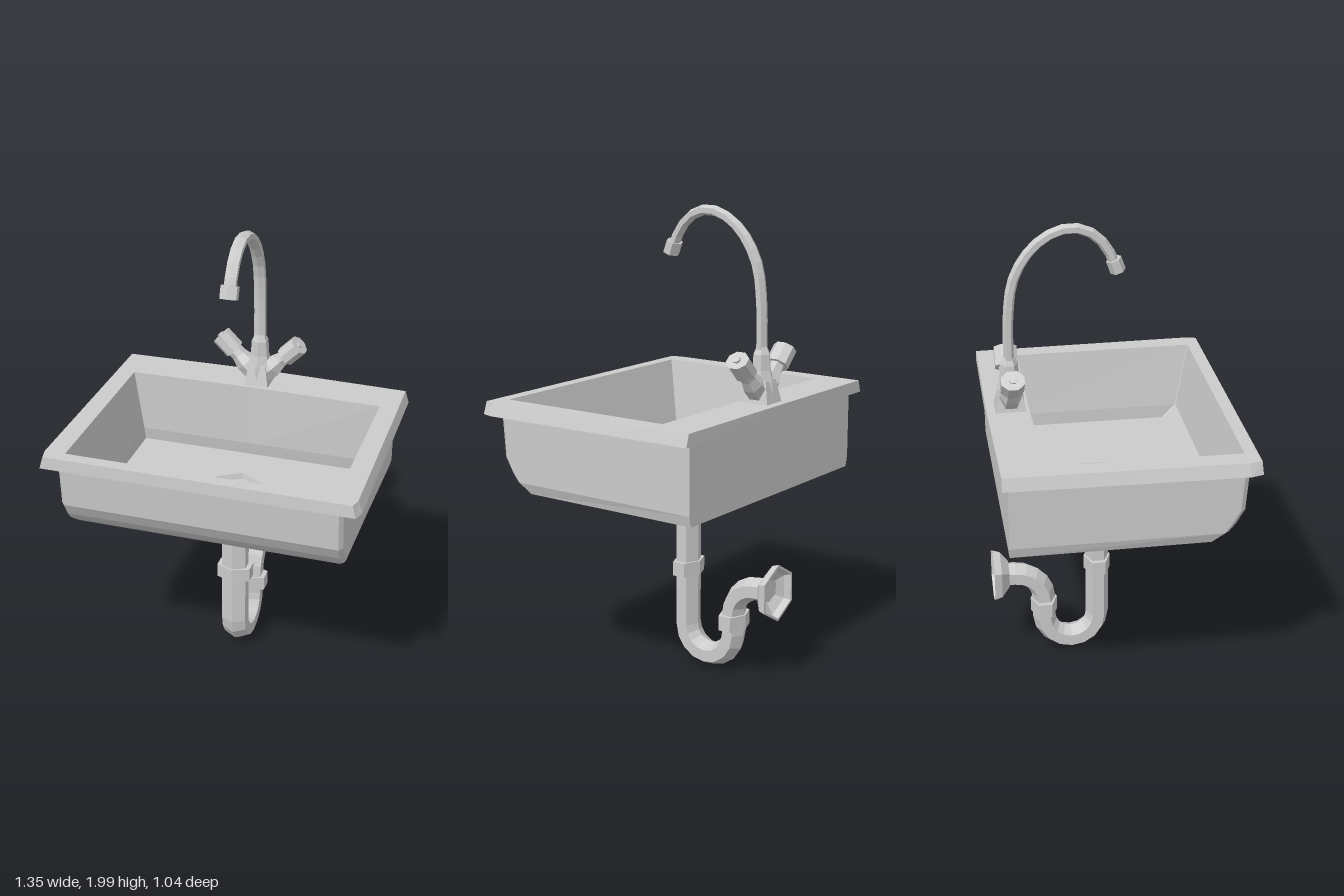
import * as THREE from 'three';

const mat = new THREE.MeshStandardMaterial({ color: 0xcccccc, flatShading: true });
const openMat = new THREE.MeshStandardMaterial({ color: 0xcccccc, flatShading: true, side: THREE.DoubleSide });

function add(parent, name, geometry, material = mat) {
  const mesh = new THREE.Mesh(geometry, material);
  mesh.name = name;
  parent.add(mesh);
  return mesh;
}

// Skin through rings of equal point count, closed at both ends
function loft(rings) {
  const n = rings[0].length, pos = [];
  const tri = (a, b, c) => pos.push(...a, ...b, ...c);
  for (let k = 0; k + 1 < rings.length; k++) {
    const a = rings[k], b = rings[k + 1];
    for (let i = 0; i < n; i++) {
      const j = (i + 1) % n;
      tri(a[i], a[j], b[j]);
      tri(a[i], b[j], b[i]);
    }
  }
  const first = rings[0], last = rings[rings.length - 1];
  for (let i = 1; i + 1 < n; i++) {
    tri(first[0], first[i + 1], first[i]);
    tri(last[0], last[i], last[i + 1]);
  }
  const g = new THREE.BufferGeometry();
  g.setAttribute('position', new THREE.Float32BufferAttribute(pos, 3));
  g.computeVertexNormals();
  return g;
}

// Horizontal basin outline with cut front corners and a slightly bowed back
function outline(y, backX, frontX, zBack, zFront, cutX = 0.003, cutZ = 0.003, bow = 0) {
  return [
    [backX, y, zBack], [0, y + bow * 0.5, zBack - bow], [-backX, y, zBack],
    [-frontX, y, zFront - cutZ], [-frontX + cutX, y, zFront],
    [frontX - cutX, y, zFront], [frontX, y, zFront - cutZ],
  ];
}

// Hexagonal drain outline, front corner doubled to match the basin outline
function drainOutline(y, r) {
  return [120, 180, 240, 300, 360, 360, 60].map((deg) => {
    const a = deg * Math.PI / 180;
    return [Math.sin(a) * r, y, Math.cos(a) * r - 0.05];
  });
}

// Six-sided tube along [z, y] points in the plane x = 0
function sweep(path, r, xScale) {
  return loft(path.map(([z, y], k) => {
    const p = path[Math.max(k - 1, 0)], q = path[Math.min(k + 1, path.length - 1)];
    const len = Math.hypot(q[0] - p[0], q[1] - p[1]);
    const tz = (q[0] - p[0]) / len, ty = (q[1] - p[1]) / len;
    return Array.from({ length: 6 }, (_, i) => {
      const a = i * Math.PI / 3, c = Math.cos(a) * r;
      return [Math.sin(a) * r * xScale, y - tz * c, z + ty * c];
    });
  }));
}

// Faceted turned part from [radius, height] pairs
const turned = (profile, sides = 6, turn = 0) =>
  new THREE.LatheGeometry(profile.map(([r, y]) => new THREE.Vector2(r, y)), sides, turn);

function arc(cz, cy, r, from, to, steps) {
  return Array.from({ length: steps + 1 }, (_, i) => {
    const a = from + (to - from) * i / steps;
    return [cz + Math.cos(a) * r, cy + Math.sin(a) * r];
  });
}

export function createModel() {
  const model = new THREE.Group();
  model.name = 'sink';

  // Basin: outer shell, rim, inner walls, floor and recessed drain in one skin
  add(model, 'basin', loft([
    outline(0.82, 0.59, 0.585, -0.484, 0.35, 0.015, 0.015),
    outline(0.865, 0.602, 0.602, -0.484, 0.405, 0.015, 0.02),
    outline(0.9, 0.602, 0.602, -0.484, 0.433, 0.015, 0.02),
    outline(0.96, 0.602, 0.602, -0.484, 0.468, 0.015, 0.02),
    outline(1.15, 0.602, 0.602, -0.484, 0.483, 0.015, 0.02),
    outline(1.15, 0.658, 0.677, -0.51, 0.518, 0.015, 0.05, 0.008),
    outline(1.203, 0.642, 0.659, -0.51, 0.514, 0.012, 0.05, 0.008),
    outline(1.203, 0.565, 0.57, -0.332, 0.46, 0.003, 0.003, 0.006),
    outline(0.925, 0.526, 0.526, -0.334, 0.4),
    outline(0.865, 0.524, 0.524, -0.345, 0.34),
    drainOutline(0.865, 0.117),
    drainOutline(0.84, 0.111),
  ]));

  // Funnel below the drain
  const funnel = add(model, 'drainFunnel', turned([[0.055, 0.715], [0.115, 0.805], [0.115, 0.825], [0, 0.825]]));
  funnel.position.z = -0.05;
  funnel.scale.x = 1.12;

  // Waste pipe with U-bend and elbow to the wall
  add(model, 'trapPipe', sweep([
    [-0.05, 0.73],
    ...arc(-0.17, 0.173, 0.12, 0, -Math.PI, 8),
    ...arc(-0.42, 0.265, 0.13, 0, Math.PI / 2, 5),
    [-0.465, 0.395],
  ], 0.051, 1.25));
  for (const [z, y0, y1] of [[-0.05, 0.645, 0.717], [-0.05, 0.398, 0.46], [-0.29, 0.198, 0.263]])
    add(model, 'pipeCollar', sweep([[z, y0], [z, y1]], 0.059, 1.48));

  // Hollow wall flange
  const flange = add(model, 'wallFlange', turned([
    [0.045, 0], [0.065, 0], [0.114, 0.036], [0.125, 0.068], [0.114, 0.068], [0.102, 0.04], [0.05, 0.01],
  ]), openMat);
  flange.rotation.x = -Math.PI / 2;
  flange.position.set(0, 0.395, -0.445);

  // Tap body
  const tap = new THREE.Group();
  tap.name = 'tap';
  tap.position.set(0, 1.2, -0.415);
  model.add(tap);
  const base = new THREE.CylinderGeometry(0.045 * Math.SQRT2, 0.066 * Math.SQRT2, 0.1, 4);
  base.rotateY(Math.PI / 4).scale(0.84, 1, 1).translate(0, 0.05, 0);
  add(tap, 'tapBase', base);
  add(tap, 'tapColumn', turned([[0.06, 0.02], [0.055, 0.09], [0.042, 0.14], [0.038, 0.205], [0.024, 0.235], [0, 0.235]]));

  // Slanted arms with eight-sided handles
  for (const side of [-1, 1]) {
    const arm = new THREE.Group();
    arm.name = side > 0 ? 'leftHandle' : 'rightHandle';
    arm.position.y = 0.025;
    arm.rotation.z = -side * Math.PI / 4;
    tap.add(arm);
    add(arm, 'arm', turned([[0.045, 0.02], [0.047, 0.09], [0.035, 0.135], [0.033, 0.17]]));
    const knob = add(arm, 'knob', turned([[0, 0.165], [0.052, 0.165], [0.052, 0.253], [0, 0.253]], 8, Math.PI / 8));
    knob.scale.x = 0.86;
    add(arm, 'knobButton', turned([[0.016, 0.25], [0.016, 0.262], [0, 0.262]]));
  }

  // Curved spout and its outlet
  const spout = new THREE.CatmullRomCurve3([
    [-0.415, 1.42], [-0.413, 1.6], [-0.388, 1.77], [-0.318, 1.89], [-0.23, 1.957],
    [-0.14, 1.977], [-0.058, 1.947], [-0.002, 1.885], [0.032, 1.81],
  ].map(([z, y]) => new THREE.Vector3(0, y, z)));
  add(model, 'spout', sweep(spout.getSpacedPoints(16).map((p) => [p.z, p.y]), 0.022, 1.3));
  add(model, 'spoutOutlet', sweep([[0.024, 1.838], [0.043, 1.786]], 0.033, 1.25));

  return model;
}
